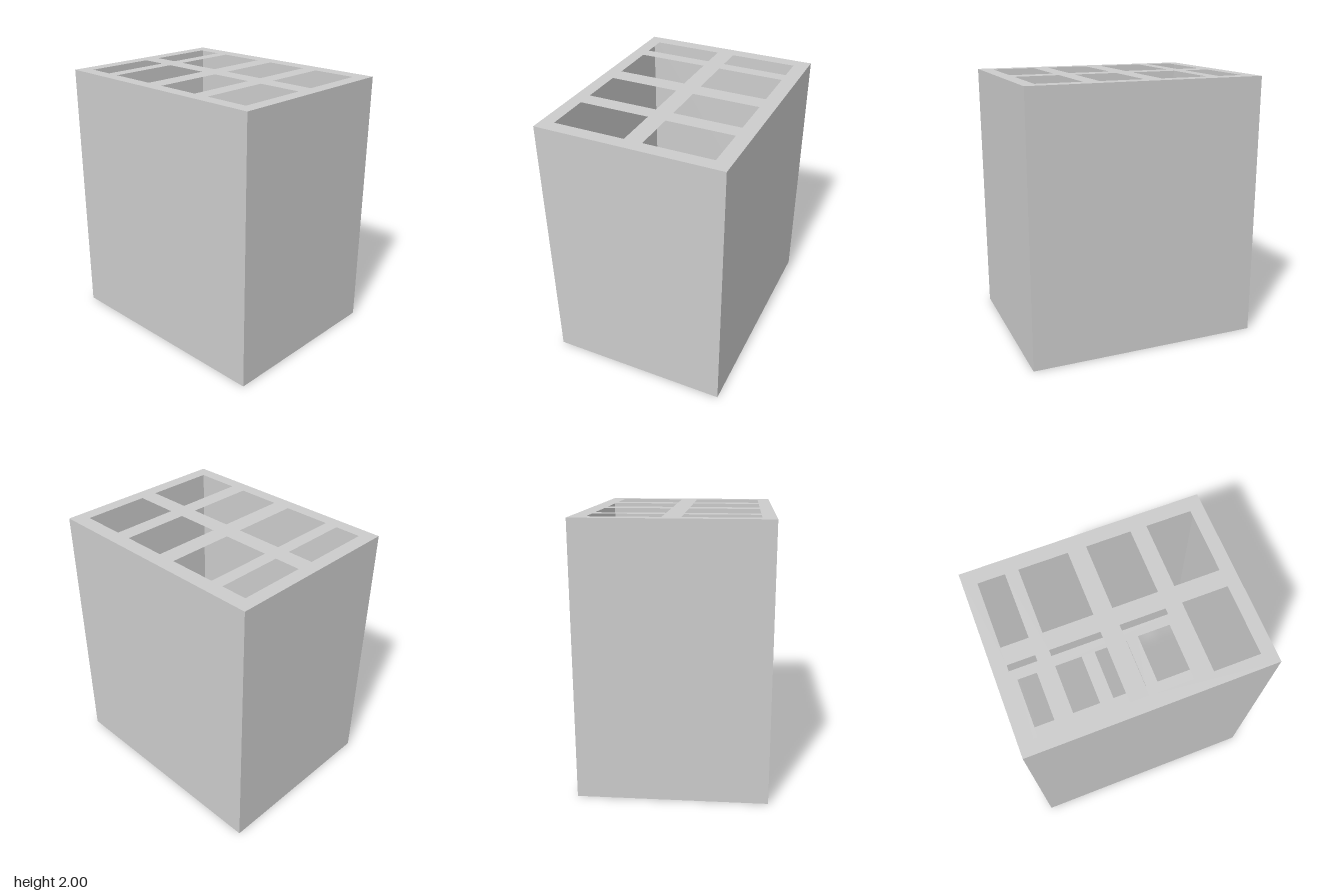
import * as THREE from 'three';

const W = 1.37, H = 2, D = 1.774;
// Opening ranges across the width (x) and depth (z)
const columns = [[-0.588, -0.061], [0.071, 0.574]];
const rows = [[-0.787, -0.591], [-0.495, -0.135], [0, 0.331], [0.451, 0.787]];

function rectangle(PathType, x0, x1, y0, y1) {
  const path = new PathType();
  path.moveTo(x0, y0);
  path.lineTo(x1, y0);
  path.lineTo(x1, y1);
  path.lineTo(x0, y1);
  path.closePath();
  return path;
}

// Thin plate with eight openings; facing is 1 for up, -1 for down
function grille(facing) {
  const shape = rectangle(THREE.Shape, -W / 2, W / 2, -D / 2, D / 2);
  for (const [x0, x1] of columns) {
    for (const [z0, z1] of rows) {
      shape.holes.push(rectangle(THREE.Path, x0, x1, -facing * z0, -facing * z1));
    }
  }
  return new THREE.ShapeGeometry(shape).rotateX(-facing * Math.PI / 2);
}

export function createModel() {
  const group = new THREE.Group();
  group.name = 'dividedBin';
  const material = new THREE.MeshStandardMaterial({
    color: 0xcccccc, flatShading: true, side: THREE.DoubleSide,
  });
  const add = (name, geometry) => {
    const mesh = new THREE.Mesh(geometry, material);
    mesh.name = name;
    group.add(mesh);
  };

  // Four thin outer walls around a hollow interior
  ['frontWall', 'leftWall', 'backWall', 'rightWall'].forEach((name, i) => {
    const [width, offset] = i % 2 ? [D, W / 2] : [W, D / 2];
    add(name, new THREE.PlaneGeometry(width, H)
      .translate(0, H / 2, offset)
      .rotateY(i * Math.PI / 2));
  });

  // Matching top and bottom grilles
  add('topGrille', grille(1).translate(0, H, 0));
  add('bottomGrille', grille(-1));

  return group;
}
